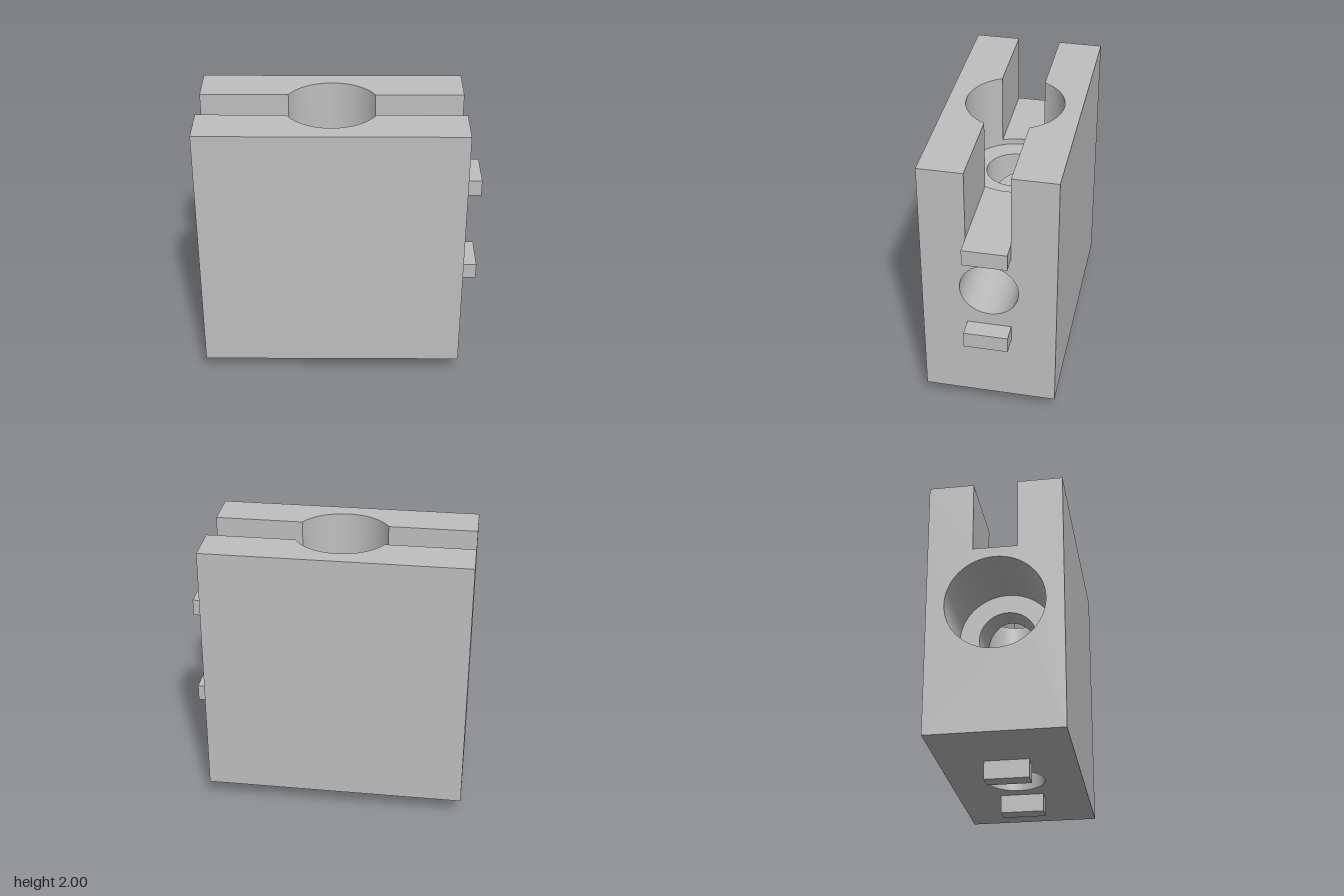
import * as THREE from 'three';

const H = 0.935;    // half of the square block
const D = 0.47;     // half thickness
const W = 0.155;    // half width of slot and pegs
const R = 0.345;    // counterbore radius
const r = 0.205;    // through-bore radius
const SLOT = 0.4175; // slot floor, from block centre
const STEP = 0.375;  // counterbore floor, from block centre
const K = Math.sqrt(R * R - W * W); // where the slot wall meets the counterbore
const A = Math.atan2(K, W);
const SEG = 64;

const V = (x, y, z) => new THREE.Vector3(x, y, z);
// In-plane axes of each side; their cross product is the outward normal
const SIDES = {
  front: [V(1, 0, 0), V(0, 1, 0)],
  back: [V(-1, 0, 0), V(0, 1, 0)],
  right: [V(0, 0, -1), V(0, 1, 0)],
  left: [V(0, 0, 1), V(0, 1, 0)],
  top: [V(0, 0, 1), V(1, 0, 0)],
  bottom: [V(0, 0, -1), V(1, 0, 0)],
};

function polygon(pts) {
  return new THREE.Shape(pts.map(([x, y]) => new THREE.Vector2(x, y)));
}
const rect = (x0, x1, y0, y1) => polygon([[x0, y0], [x1, y0], [x1, y1], [x0, y1]]);

function withHole(shape, radius) {
  shape.holes.push(new THREE.Path().absarc(0, 0, radius, 0, Math.PI * 2, true));
  return shape;
}

// Inward-facing bore wall along local z, from start(q) to end
function boreWall(radius, start, end, a0 = 0, a1 = Math.PI * 2) {
  const pos = [], nor = [], idx = [];
  for (let i = 0; i <= SEG * 2; i++) {
    const t = a0 + (a1 - a0) * i / (SEG * 2);
    const c = Math.cos(t), s = Math.sin(t);
    pos.push(radius * c, radius * s, start(radius * s), radius * c, radius * s, end);
    nor.push(-c, -s, 0, -c, -s, 0);
    if (i) {
      const b = 2 * i;
      idx.push(b - 2, b - 1, b, b, b - 1, b + 1);
    }
  }
  const g = new THREE.BufferGeometry();
  g.setAttribute('position', new THREE.Float32BufferAttribute(pos, 3));
  g.setAttribute('normal', new THREE.Float32BufferAttribute(nor, 3));
  g.setIndex(idx);
  return g;
}

export function createModel() {
  const model = new THREE.Group();
  model.name = 'slottedBlock';
  const grey = new THREE.MeshStandardMaterial({ color: 0xbfbfbf, side: THREE.DoubleSide });
  grey.name = 'light grey';

  const block = new THREE.Group();
  block.name = 'block';
  block.position.set(-0.065, 1.065, 0);
  model.add(block);

  function add(name, side, geometry, offset = 0) {
    const [u, v] = SIDES[side];
    const n = u.clone().cross(v);
    geometry.translate(0, 0, offset);
    geometry.applyMatrix4(new THREE.Matrix4().makeBasis(u, v, n));
    const mesh = new THREE.Mesh(geometry, grey);
    mesh.name = name;
    block.add(mesh);
  }
  const flat = (shape) => new THREE.ShapeGeometry(shape, SEG);

  // Broad faces
  for (const side of ['front', 'back']) add(side + 'Face', side, flat(rect(-H, H, -H, H)), D);

  // Ends with the slot notch and a round opening
  for (const [side, radius] of [['right', r], ['left', R]]) {
    const profile = polygon([[-D, -H], [D, -H], [D, H], [W, H], [W, SLOT], [-W, SLOT], [-W, H], [-D, H]]);
    add(side + 'Face', side, flat(withHole(profile, radius)), H);
  }
  add('bottomFace', 'bottom', flat(withHole(rect(-D, D, -H, H), r)), H);

  // Top rims, slot floors and counterbore arcs, each repeated half a turn round
  for (const turn of [0, Math.PI]) {
    const rim = polygon([[W, -H], [D, -H], [D, H], [W, H], [W, K]]);
    rim.absarc(0, 0, R, A, -A, true);
    add('topRim', 'top', flat(rim).rotateZ(turn), H);

    const floor = polygon([[W, H], [-W, H], [-W, K]]);
    floor.absarc(0, 0, R, Math.PI - A, A, true);
    add('slotFloor', 'top', flat(floor).rotateZ(turn), SLOT);

    add('slotBoreWall', 'top', boreWall(R, () => SLOT, H, turn - A, turn + A));
  }

  // Slot walls either side of the counterbore
  for (const side of ['front', 'back']) {
    add('slotWall', side, flat(rect(K, H, SLOT, H)), -W);
    add('slotWall', side, flat(rect(-H, -K, SLOT, H)), -W);
  }

  // Counterbores with their stepped floors
  add('topCounterbore', 'top', boreWall(R, () => STEP, SLOT));
  add('leftCounterbore', 'left', boreWall(R, () => STEP, H));
  for (const side of ['top', 'left']) add('boreStep', side, new THREE.RingGeometry(r, R, SEG * 2), STEP);

  // Four arms of the crossing bores, mitred where they meet
  for (const [side, end] of [['right', H], ['bottom', H], ['left', STEP], ['top', STEP]]) {
    add(side + 'Bore', side, boreWall(r, Math.abs, end));
  }

  // Locating pegs
  for (const side of ['right', 'bottom']) {
    for (const s of [-1, 1]) {
      const peg = new THREE.BoxGeometry(2 * W, 0.12, 0.13);
      add(side + 'Peg', side, peg.translate(0, s * 0.3575, 0), H + 0.065);
    }
  }
  return model;
}
